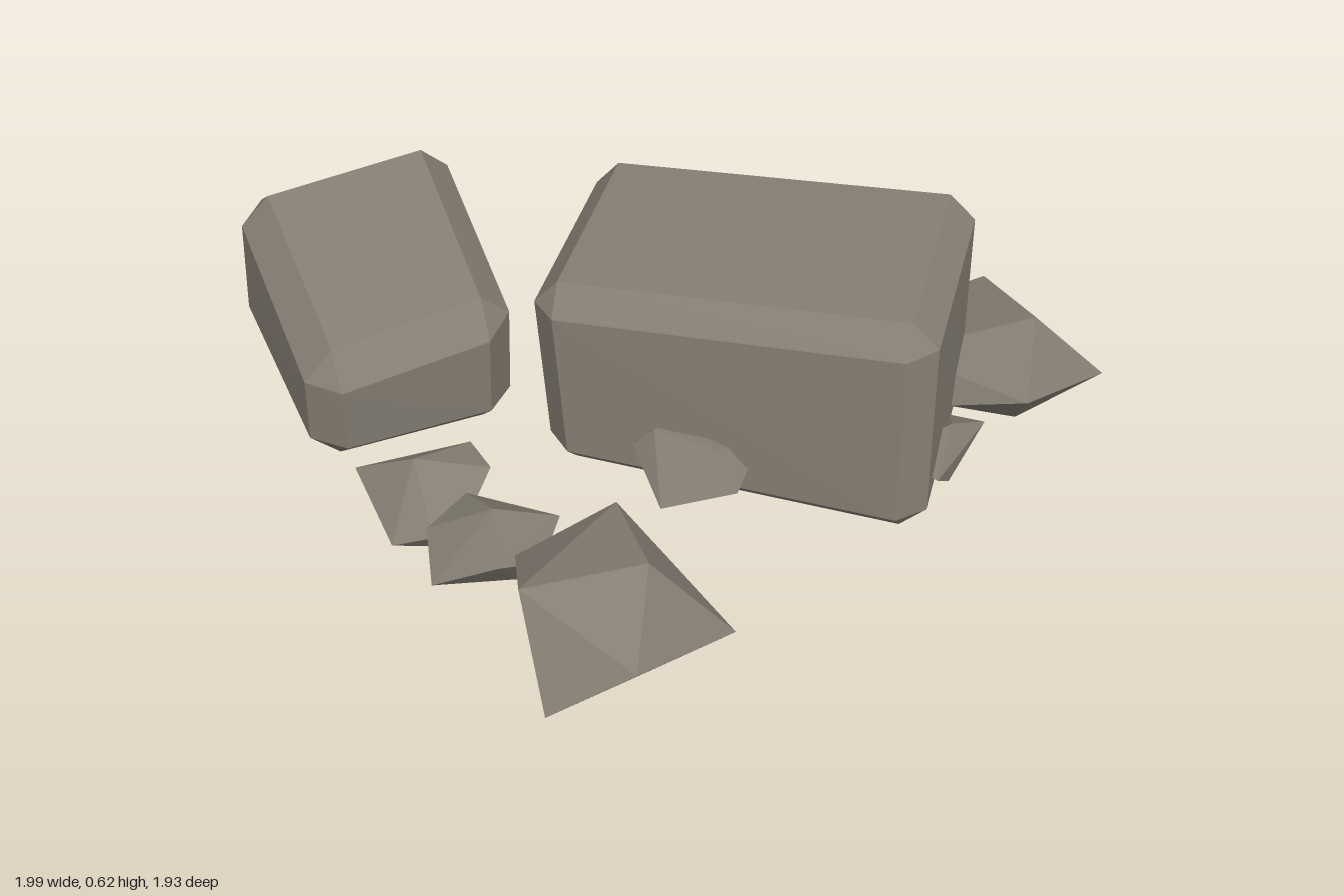
import * as THREE from 'three';
import { ConvexGeometry } from 'three/addons/geometries/ConvexGeometry.js';

const stone = new THREE.MeshStandardMaterial({ color: 0x857e73, flatShading: true });

function hullMesh(name, points) {
  const mesh = new THREE.Mesh(new ConvexGeometry(points.map(p => new THREE.Vector3(...p))), stone);
  mesh.name = name;
  return mesh;
}

// Slightly skewed block with every edge chamfered.
// Corners run backLeft, frontLeft, frontRight, backRight; bottom ring, then top ring.
function chamferedBlock(name, bottom, top, bevel) {
  const corners = [...bottom, ...top].map(c => new THREE.Vector3(...c));
  const points = [];
  corners.forEach((corner, i) => {
    const ring = i < 4 ? 0 : 4;
    const neighbours = [ring + (i + 1) % 4, ring + (i + 3) % 4, (i + 4) % 8];
    const steps = neighbours.map(n => corners[n].clone().sub(corner).setLength(bevel));
    // one point on each of the three faces meeting at the corner
    for (const [a, b] of [[0, 1], [1, 2], [2, 0]]) {
      points.push(corner.clone().add(steps[a]).add(steps[b]).toArray());
    }
  });
  return hullMesh(name, points);
}

export function createModel() {
  const group = new THREE.Group();
  group.name = 'rockCluster';

  // Two big boulders
  group.add(chamferedBlock('largeBoulder',
    [[-0.22, 0, -0.33], [0.03, 0, 0.285], [0.93, 0, -0.05], [0.69, 0, -0.66]],
    [[-0.265, 0.545, -0.315], [-0.015, 0.525, 0.3], [0.905, 0.6, -0.055], [0.665, 0.63, -0.665]], 0.065));
  group.add(chamferedBlock('smallBoulder',
    [[-0.745, 0.01, -0.18], [-1.04, 0.02, 0.32], [-0.385, 0, 0.67], [-0.13, 0, 0.2]],
    [[-0.715, 0.515, -0.17], [-0.99, 0.465, 0.34], [-0.365, 0.325, 0.685], [-0.11, 0.39, 0.215]], 0.075));

  // Faceted stones scattered around them, each a hull of a few corners
  const stones = {
    frontRightStone: [[0.42, 0.24, 0.49], [0.8, 0.1, 0.54], [0.76, 0.19, 0.85], [0.6, 0.05, 0.965],
      [0.45, 0.27, 0.87], [0.29, 0.15, 0.7], [0.64, 0.3, 0.655], [0.62, 0, 0.68], [0.36, 0.02, 0.62]],
    frontMiddleStone: [[0.05, 0.14, 0.6], [0.27, 0.13, 0.515], [0.32, 0.1, 0.64], [0.29, 0.15, 0.755],
      [0.14, 0.06, 0.825], [0.03, 0.1, 0.72], [0.19, 0.21, 0.66], [0.1, 0, 0.68], [0.24, 0, 0.64]],
    frontLeftStone: [[-0.265, 0.09, 0.66], [-0.06, 0.15, 0.46], [0.05, 0.16, 0.51], [0.085, 0.1, 0.64],
      [0.05, 0.08, 0.72], [-0.04, 0.04, 0.77], [-0.1, 0.18, 0.62], [-0.05, 0, 0.6], [0.03, 0, 0.66]],
    innerFrontStone: [[0.25, 0.14, 0.21], [0.395, 0.06, 0.285], [0.54, 0.11, 0.17], [0.5, 0.15, 0.02],
      [0.3, 0.2, 0.05], [0.3, 0.2, 0.19], [0.46, 0.2, 0.16], [0.4, 0, 0.15]],
    backRightStone: [[0.42, 0.12, -0.66], [0.605, 0.2, -0.88], [1, 0.09, -0.83], [0.955, 0.18, -0.49],
      [0.76, 0.1, -0.45], [0.58, 0.17, -0.48], [0.845, 0.27, -0.71], [0.72, 0, -0.68], [0.87, 0.01, -0.62]],
    backStone: [[-0.235, 0.1, -0.775], [-0.005, 0.2, -0.97], [0.21, 0.08, -0.94], [0.185, 0.12, -0.61],
      [-0.1, 0.07, -0.66], [0.12, 0.25, -0.77], [0.02, 0, -0.77], [0.13, 0, -0.82]],
    backMiddleStone: [[-0.085, 0.1, -0.47], [0.08, 0.19, -0.63], [0.365, 0.1, -0.6], [0.33, 0.12, -0.45],
      [0.1, 0.08, -0.36], [0.22, 0.21, -0.52], [0.14, 0, -0.5], [0.25, 0, -0.52]],
    rightStone: [[0.87, 0.11, -0.44], [0.895, 0.11, -0.17], [0.78, 0.1, -0.42], [0.74, 0.1, -0.2],
      [0.84, 0.165, -0.32], [0.88, 0.04, -0.26], [0.82, 0, -0.3]],
    backLeftStone: [[-0.2, 0.05, -0.36], [-0.115, 0.08, -0.41], [-0.04, 0.05, -0.39], [-0.05, 0.07, -0.27],
      [-0.17, 0.06, -0.27], [-0.11, 0.12, -0.34], [-0.11, 0, -0.34]],
  };
  for (const [name, points] of Object.entries(stones)) group.add(hullMesh(name, points));

  return group;
}
